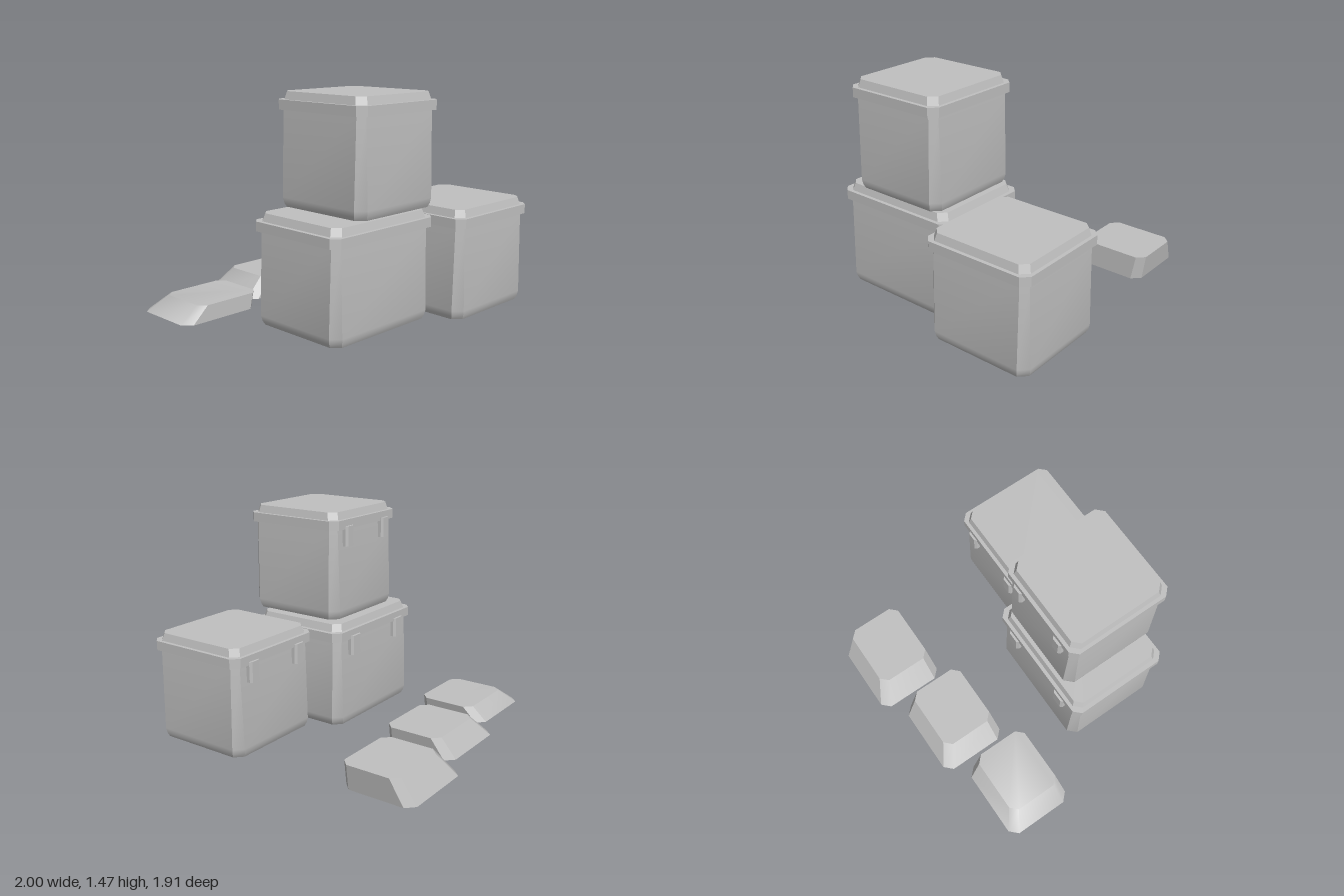
import * as THREE from 'three';
import { toCreasedNormals } from 'three/addons/utils/BufferGeometryUtils.js';

// Corners of a rectangle with cut corners, counterclockwise from above
function ring([y, x0, x1, z0, z1, c]) {
  return [
    [x1, z1 - c], [x1, z0 + c], [x1 - c, z0], [x0 + c, z0],
    [x0, z0 + c], [x0, z1 - c], [x0 + c, z1], [x1 - c, z1],
  ].map(([x, z]) => [x, y, z]);
}

// Closed solid through a stack of cut-corner rectangles
function loft(sections, crease) {
  const rings = sections.map(ring);
  const pos = [];
  const tri = (a, b, c) => pos.push(...a, ...b, ...c);
  for (let k = 0; k < rings.length - 1; k++) {
    const lo = rings[k], hi = rings[k + 1];
    for (let i = 0; i < 8; i++) {
      const j = (i + 1) % 8;
      tri(lo[i], lo[j], hi[j]);
      tri(lo[i], hi[j], hi[i]);
    }
  }
  const bottom = rings[0], top = rings[rings.length - 1];
  for (let i = 1; i < 7; i++) {
    tri(top[0], top[i], top[i + 1]);
    tri(bottom[0], bottom[i + 1], bottom[i]);
  }
  const geo = new THREE.BufferGeometry();
  geo.setAttribute('position', new THREE.Float32BufferAttribute(pos, 3));
  return toCreasedNormals(geo, crease);
}

export function createModel() {
  const model = new THREE.Group();
  model.name = 'stackedContainers';
  const grey = new THREE.MeshStandardMaterial({ color: 0xc0c0c0 });
  grey.name = 'grey';

  const add = (parent, name, sections, crease = 0.52) => {
    const mesh = new THREE.Mesh(loft(sections, crease), grey);
    mesh.name = name;
    parent.add(mesh);
    return mesh;
  };

  // Lidded container; x0..x1 and z0..z1 are the limits of its rim
  function container(name, x0, x1, z0, z1, y) {
    const group = new THREE.Group();
    group.name = name;
    group.position.set((x0 + x1) / 2, y, (z0 + z1) / 2);
    const w = (x1 - x0) / 2, d = (z1 - z0) / 2, s = (x1 - x0) / 0.76;
    const level = (h, inset, cut) =>
      [h, -w + inset * s, w - inset * s, -d + inset, d - inset, cut];

    // Body, slightly wider towards its softened base
    add(group, 'body', [
      level(0, 0.03, 0.05), level(0.025, 0.018, 0.053),
      level(0.06, 0.011, 0.055), level(0.61, 0.024, 0.04),
    ]);
    add(group, 'rim', [level(0.602, 0, 0.047), level(0.664, 0, 0.047)]);
    add(group, 'lid', [level(0.664, 0.024, 0.048), level(0.714, 0.038, 0.045)]);

    // Pair of hinges on the back
    for (const side of [-1, 1]) {
      const hx = side * 0.216 * s, hw = 0.043 * s;
      const plate = (h) => [h, hx - hw, hx + hw, -d - 0.016, -d + 0.04, 0.014];
      add(group, side < 0 ? 'rightHinge' : 'leftHinge', [plate(0.488), plate(0.622)]);
    }
    model.add(group);
  }

  container('wideContainer', -0.67, 0.234, 0.03, 0.76, 0.013);
  container('frontContainer', 0.242, 1.0, 0.225, 0.955, 0.013);
  container('topContainer', -0.505, 0.21, 0.066, 0.8, 0.752);

  // Leaning slabs behind the containers: left edge, front edge, height
  [[-1.0, -0.22, 0.105], [-0.355, -0.345, 0.138], [0.3, -0.467, 0.168]].forEach(([x, z, h], i) => {
    add(model, 'slab' + (i + 1), [
      [0, x, x + 0.577, z - 0.492, z, 0.055],
      [h, x + 0.125, x + 0.6, z - 0.402, z - 0.006, 0.05],
    ], 0.62);
  });
  return model;
}
